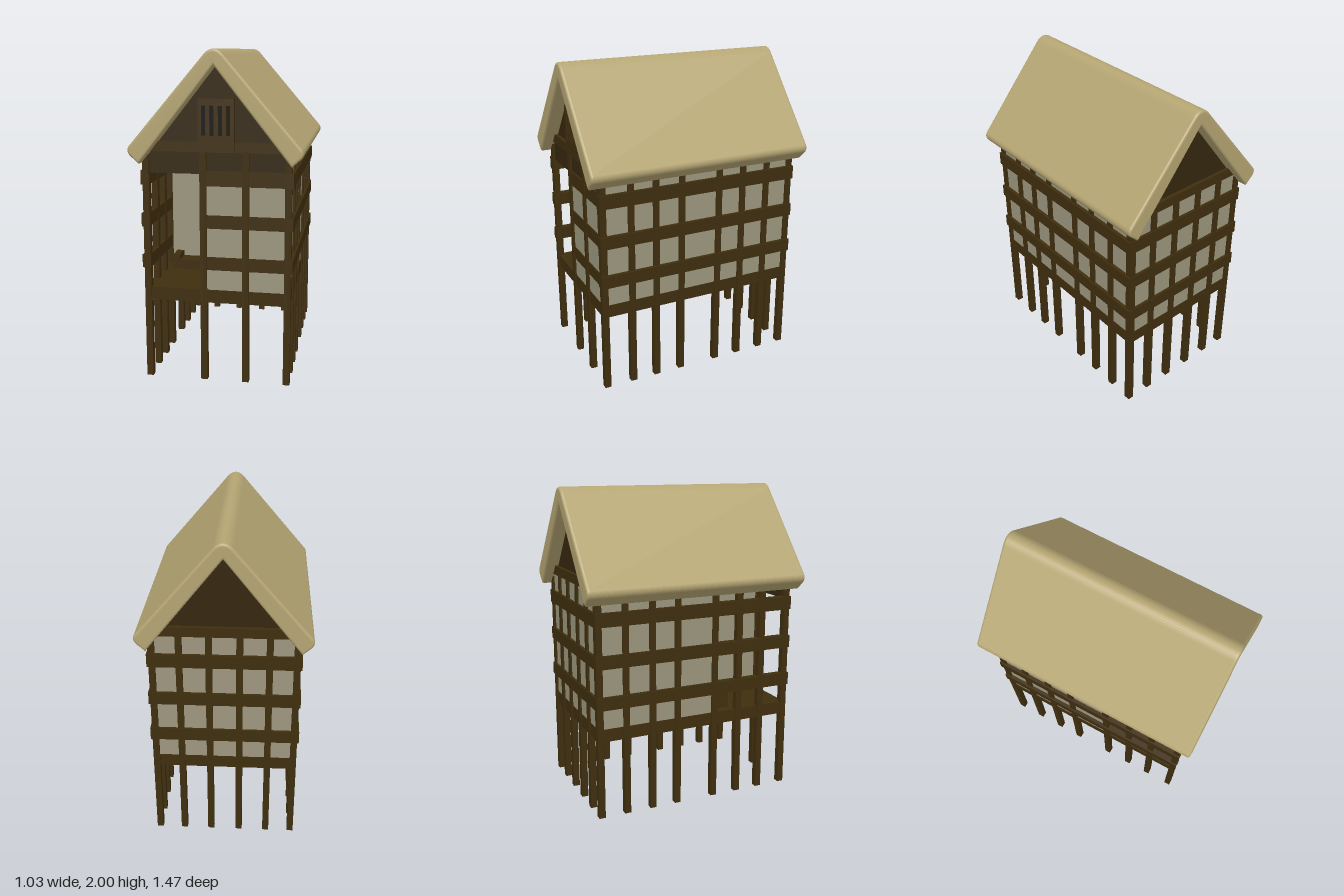
import * as THREE from 'three';

const mat = (color) => new THREE.MeshStandardMaterial({ color });

export function createModel() {
  const model = new THREE.Group();
  model.name = 'stiltHouse';
  const wood = mat(0x3f2e0e), darkWood = mat(0x35270e), plaster = mat(0x9c967e);
  const thatch = mat(0xb5a573), black = mat(0x0b0b0b);

  // Box given by its min and max along each axis
  const box = (name, m, x0, x1, y0, y1, z0, z1) => {
    const b = new THREE.Mesh(new THREE.BoxGeometry(x1 - x0, y1 - y0, z1 - z0), m);
    b.name = name;
    b.position.set((x0 + x1) / 2, (y0 + y1) / 2, (z0 + z1) / 2);
    model.add(b);
    return b;
  };
  // Upright plate drawn in x/y and extruded from z0 to z1
  const plate = (name, m, pts, z0, z1) => {
    const shape = new THREE.Shape(pts.map(([x, y]) => new THREE.Vector2(x, y)));
    const p = new THREE.Mesh(new THREE.ExtrudeGeometry(shape, { depth: z1 - z0, bevelEnabled: false }), m);
    p.name = name;
    p.position.z = z0;
    model.add(p);
  };

  const W = 0.425, F = 0.645, B = -0.65, R = 0.02; // post centre lines and half width
  const porchX = -0.08, porchZ = 0.125;
  const sideZ = [F, 0.465, 0.3, porchZ, -0.135, -0.305, -0.48, B];
  const frontX = [porchX, 0.175];
  const backX = [-0.265, -0.09, 0.09, 0.265];
  const rails = [[0.7, 0.78], [0.955, 1.035], [1.21, 1.295]];

  // Posts, which run from the ground to the roof
  const post = (name, x, z, top) => box(name, wood, x - R, x + R, 0, top, z - R, z + R);
  for (const s of [-1, 1]) for (const z of sideZ) post('sidePost', s * W, z, 1.39);
  for (const x of frontX) post('frontPost', x, F, 1.42);
  for (const x of backX) post('backPost', x, B, 1.42);

  // Floor
  box('floor', wood, -0.437, 0.437, 0.495, 0.575, B - 0.012, F + 0.012);

  // Horizontal rails
  for (const [y0, y1] of rails) {
    for (const s of [-1, 1]) box('sideRail', wood, s * 0.431 - 0.024, s * 0.431 + 0.024, y0, y1, -0.675, 0.67);
    box('frontRail', wood, porchX, W, y0, y1, 0.625, 0.66);
    box('backRail', wood, -0.455, 0.455, y0, y1, -0.675, -0.635);
  }

  // Infill walls, leaving the porch corner open
  const y0 = 0.57, y1 = 1.4, t = 0.008;
  box('leftWall', plaster, W - t, W + t, y0, 1.36, B, F);
  box('rightWall', plaster, -W - t, -W + t, y0, 1.36, B, porchZ);
  box('backWall', plaster, -W, W, y0, 1.42, B - t, B + t);
  box('frontWall', plaster, porchX, W, y0, 1.29, F - t, F + t);
  box('porchBackWall', plaster, -W, porchX, y0, y1, porchZ - t, porchZ + t);
  box('porchSideWall', plaster, porchX - t, porchX + t, y0, y1, porchZ, F);

  // Boards over the front openings and the ceiling
  box('frontHeader', darkWood, -W, W, 1.28, 1.41, 0.63, 0.65);
  box('frontHeaderRail', wood, porchX, W, 1.28, 1.3, 0.63, 0.66);
  box('ceiling', darkWood, -0.39, 0.39, 1.4, 1.42, B, F);

  // Low bench with raised ends against the porch wall
  box('benchSeat', wood, -0.375, -0.1, 0.575, 0.635, 0.14, 0.26);
  for (const x of [-0.3525, -0.1225]) box('benchEnd', wood, x - 0.0225, x + 0.0225, 0.575, 0.67, 0.14, 0.26);

  // Gables with tie beams
  const gable = [[-0.43, 1.38], [0.43, 1.38], [0, 1.93]];
  const tie = [[-0.405, 1.41], [0.405, 1.41], [0.36, 1.47], [-0.36, 1.47]];
  plate('frontGable', darkWood, gable, 0.62, 0.64);
  plate('backGable', darkWood, gable, -0.645, -0.625);
  plate('frontTieBeam', wood, tie, 0.625, 0.663);
  plate('backTieBeam', wood, tie, -0.668, -0.63);

  // Slotted vent in the front gable
  const vent = new THREE.Shape([[-0.108, 1.41], [0.108, 1.41], [0.108, 1.72], [-0.108, 1.72]]
    .map(([x, y]) => new THREE.Vector2(x, y)));
  for (const x of [-0.073, -0.025, 0.025, 0.073]) {
    vent.holes.push(new THREE.Path([[-1, 1.505], [-1, 1.68], [1, 1.68], [1, 1.505]]
      .map(([s, y]) => new THREE.Vector2(x + s * 0.012, y))));
  }
  const ventMesh = new THREE.Mesh(new THREE.ExtrudeGeometry(vent, { depth: 0.025, bevelEnabled: false }), wood);
  ventMesh.name = 'gableVent';
  ventMesh.position.z = 0.643;
  model.add(ventMesh);
  box('ventBacking', black, -0.1, 0.1, 1.49, 1.7, 0.635, 0.645);

  // Thatched roof: a folded slab with rounded ridge, eaves and ends
  const b = 0.015;
  const roof = new THREE.Shape();
  roof.moveTo(0, 1.929);
  roof.lineTo(0.449, 1.363);
  roof.lineTo(0.489, 1.4);
  roof.quadraticCurveTo(0.506, 1.42, 0.492, 1.438);
  roof.lineTo(0.045, 1.96);
  roof.quadraticCurveTo(0, 2.01, -0.045, 1.96);
  roof.lineTo(-0.492, 1.438);
  roof.quadraticCurveTo(-0.506, 1.42, -0.489, 1.4);
  roof.lineTo(-0.449, 1.363);
  roof.closePath();
  const roofMesh = new THREE.Mesh(new THREE.ExtrudeGeometry(roof, {
    depth: 1.47 - 2 * b, bevelEnabled: true, bevelThickness: b, bevelSize: b, bevelSegments: 4, curveSegments: 10,
  }), thatch);
  roofMesh.name = 'thatchedRoof';
  roofMesh.position.z = -0.735 + b;
  model.add(roofMesh);

  return model;
}
